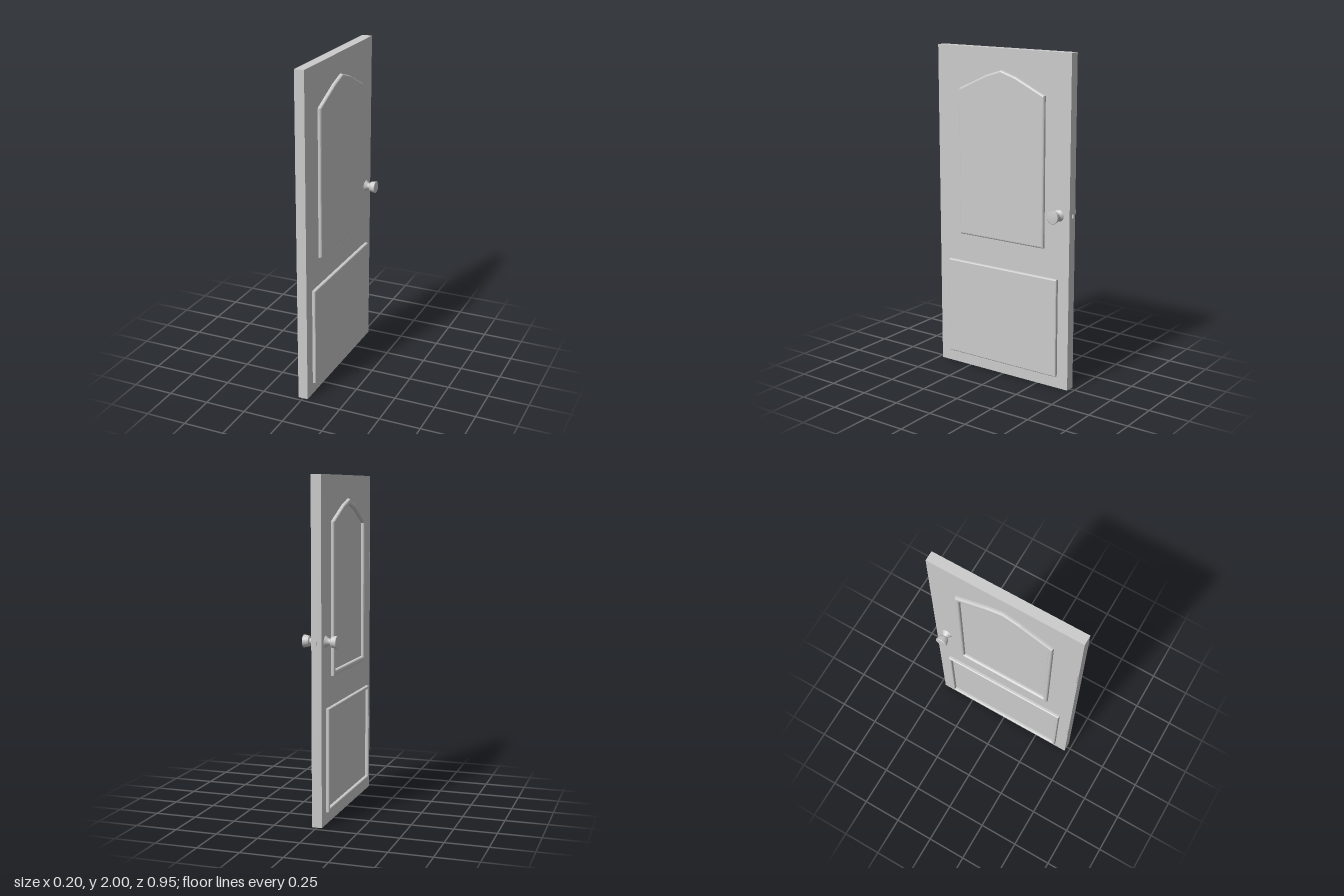
import * as THREE from 'three';

const grey = new THREE.MeshStandardMaterial({ color: 0xcccccc });

function add(parent, geometry, name, x = 0, y = 0, z = 0) {
  const mesh = new THREE.Mesh(geometry, grey);
  mesh.name = name;
  mesh.position.set(x, y, z);
  parent.add(mesh);
  return mesh;
}

// Rounded moulding between two outlines given as [z, y] points, on face s (+1 or -1)
function addMoulding(parent, outer, inner, bevel, s, name) {
  const points = (list) => list.map(([z, y]) => new THREE.Vector2(-s * z, y));
  const shape = new THREE.Shape(points(outer));
  shape.holes.push(new THREE.Path(points(inner)));
  const geometry = new THREE.ExtrudeGeometry(shape, {
    depth: 0.022 - bevel, bevelThickness: bevel, bevelSize: bevel,
    bevelOffset: -bevel, bevelSegments: 4,
  });
  const mesh = add(parent, geometry, name, s * 0.028);
  mesh.rotation.y = s * Math.PI / 2;
}

const rect = (z0, z1, y0, y1) => [[z0, y0], [z1, y0], [z1, y1], [z0, y1]];

// Panel outline with a pointed arch on top
const arch = (z0, z1, y0, yShoulder, yMid, yPeak) => [
  [z0, y0], [z1, y0], [z1, yShoulder], [0.11, yMid], [0.006, yPeak], [-0.1, yMid], [z0, yShoulder],
];

export function createModel() {
  const door = new THREE.Group();
  door.name = 'door';

  add(door, new THREE.BoxGeometry(0.06, 2, 0.942), 'slab', 0, 1, 0.004);

  // Knob profile: flared rose, narrow neck, widening grip with a slightly domed end
  const profile = [
    [0.036, 0.028], [0.034, 0.032], [0.027, 0.039], [0.021, 0.048], [0.018, 0.056],
    [0.018, 0.064], [0.029, 0.064], [0.031, 0.068], [0.037, 0.095], [0.037, 0.099],
    [0.034, 0.101], [0, 0.102],
  ].map(([r, h]) => new THREE.Vector2(r, h));

  for (const s of [1, -1]) {
    const side = s > 0 ? 'left' : 'right';
    const drop = s > 0 ? 0 : 0.012;
    addMoulding(door,
      arch(-0.297, 0.31, 0.854, 1.75 - drop, 1.842 - drop, 1.875 - drop),
      arch(-0.272, 0.284, 0.886, 1.725 - drop, 1.812 - drop, 1.84 - drop),
      0.012, s, side + 'ArchedMoulding');
    addMoulding(door, rect(-0.393, 0.401, 0.073, 0.68), rect(-0.376, 0.384, 0.094, 0.66),
      0.008, s, side + 'LowerMoulding');
    const knob = add(door, new THREE.LatheGeometry(profile, 32), side + 'Knob', 0, 1.065, -0.393);
    knob.rotation.z = -s * Math.PI / 2;
  }

  // Latch bolt on the opening edge
  add(door, new THREE.BoxGeometry(0.008, 0.02, 0.02), 'latch', 0, 1.065, -0.467);

  // Hinge barrels on the opposite edge
  for (const y of [0.446, 1.462]) {
    add(door, new THREE.CylinderGeometry(0.007, 0.007, 0.116, 12), 'hinge', -0.027, y, 0.467);
  }
  return door;
}
